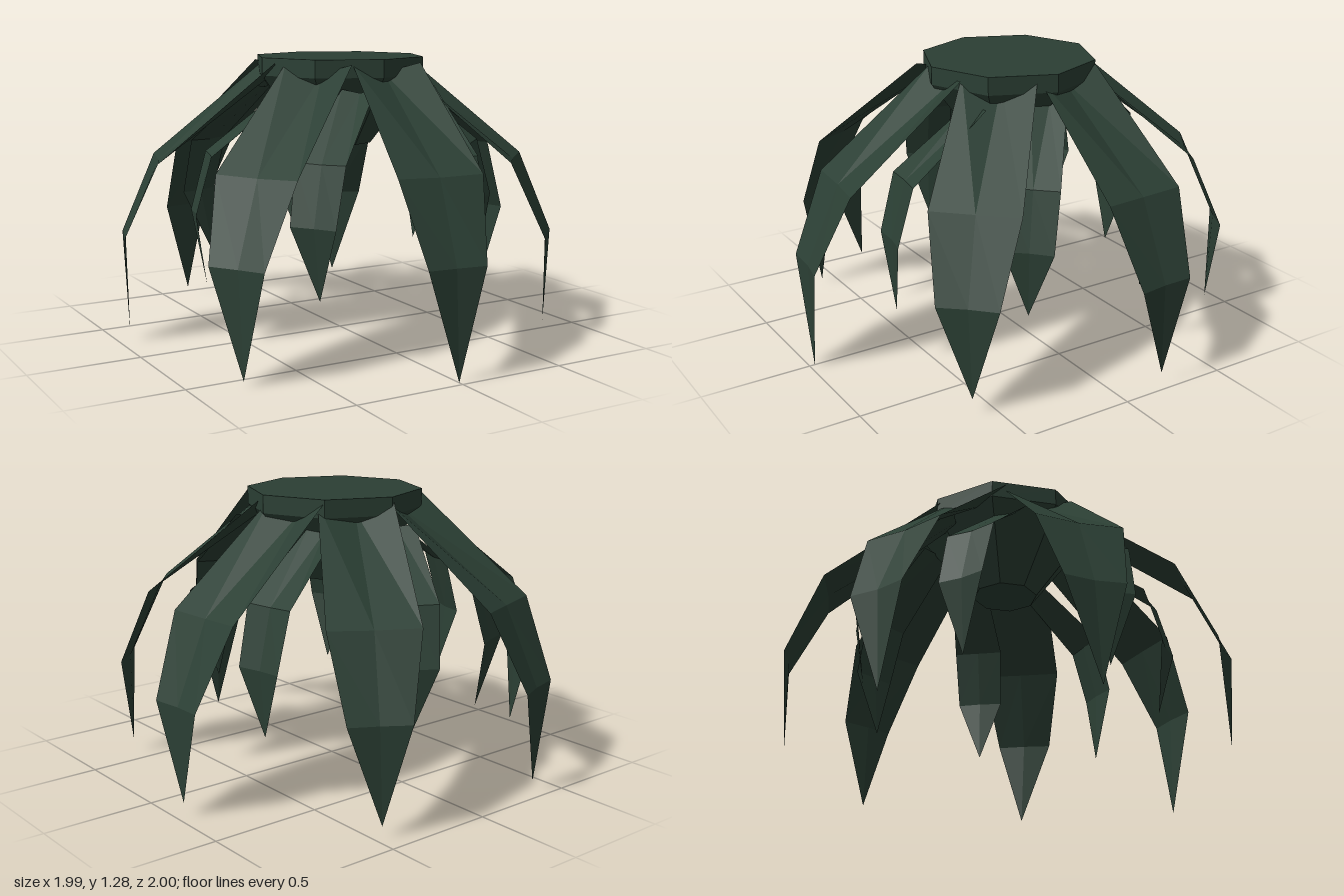
import * as THREE from 'three';

const material = new THREE.MeshStandardMaterial({ color: 0x2b3f34, flatShading: true, side: THREE.DoubleSide });

// Leaf blade: a thin folded sheet of three-point rows running from the hub, over the bend, to a pointed tip.
// Each section: distance back from the bend, height, half width, fold depth, slope of the normal.
function leafGeometry(bend, heading, tip, sections) {
  const d = new THREE.Vector3(heading[0], 0, heading[1]).normalize();
  const s = new THREE.Vector3(d.z, 0, -d.x);
  const up = new THREE.Vector3(0, 1, 0);
  const pos = [], index = [];

  for (const { back, y, w, fold, n } of sections) {
    const centre = new THREE.Vector3(bend[0], y, bend[1]).addScaledVector(d, -back);
    const normal = d.clone().multiplyScalar(Math.cos(n)).addScaledVector(up, Math.sin(n));
    for (const side of [-1, 0, 1]) {
      const p = centre.clone().addScaledVector(s, side * w);
      if (side === 0) p.addScaledVector(normal, -fold);
      pos.push(p.x, p.y, p.z);
    }
  }
  pos.push(...tip);

  const last = sections.length - 1, tipIndex = sections.length * 3;
  for (let k = 0; k < 2; k++) {
    for (let r = 0; r < last; r++) {
      const a = r * 3 + k;
      index.push(a, a + 3, a + 4, a, a + 4, a + 1);
    }
    index.push(last * 3 + k, tipIndex, last * 3 + k + 1);
  }
  const geo = new THREE.BufferGeometry();
  geo.setAttribute('position', new THREE.Float32BufferAttribute(pos, 3));
  geo.setIndex(index);
  geo.computeVertexNormals();
  return geo;
}

const longSections = [
  { back: 0.675, y: 1.26, w: 0.165, fold: 0.055, n: 0.9 },
  { back: 0.155, y: 0.83, w: 0.195, fold: 0.012, n: 0.5 },
  { back: 0, y: 0.48, w: 0.133, fold: 0.012, n: 0.2 },
];
const shortSections = [
  { back: 0.42, y: 1.15, w: 0.08, fold: 0.02, n: 0.8 },
  { back: 0.07, y: 0.87, w: 0.118, fold: 0.01, n: 0.45 },
  { back: 0, y: 0.61, w: 0.108, fold: 0.01, n: 0.15 },
];

// Bend position (x, z), heading (x, z), tip (x, y, z)
const longLeaves = [
  [[0.985, -0.2], [1, -0.077], [0.965, 0.06, -0.21]],
  [[0.735, 0.62], [0.19, 0.18], [0.735, 0.07, 0.6]],
  [[-0.02, 0.985], [-0.03, 0.26], [0, 0, 0.975]],
  [[-0.8, 0.565], [-0.225, 0.14], [-0.78, 0.02, 0.58]],
  [[-0.955, -0.305], [-0.25, -0.085], [-0.945, 0.04, -0.275]],
  [[-0.375, -0.955], [-0.09, -0.25], [-0.385, 0.04, -0.93]],
  [[0.49, -0.907], [0.135, -0.22], [0.465, 0.05, -0.895]],
];
const shortLeaves = [
  [[0.675, -0.35], [1, -0.2], [0.635, 0.31, -0.34]],
  [[0.65, 0.27], [0.7, 0.7], [0.62, 0.31, 0.25]],
  [[0.2, 0.685], [-0.13, 0.99], [0.2, 0.27, 0.66]],
  [[-0.45, 0.56], [-0.1, 0.065], [-0.4, 0.29, 0.53]],
  [[-0.73, -0.02], [-0.11, -0.035], [-0.68, 0.29, 0]],
  [[-0.45, -0.605], [-0.05, -0.12], [-0.4, 0.29, -0.55]],
  [[0.165, -0.745], [0.06, -0.1], [0.145, 0.3, -0.7]],
];

export function createModel() {
  const group = new THREE.Group();
  const add = (name, geo) => {
    const mesh = new THREE.Mesh(geo, material);
    mesh.name = name;
    group.add(mesh);
    return mesh;
  };

  // Octagonal crown plate and the tapered core beneath it
  add('crownPlate', new THREE.CylinderGeometry(0.395, 0.395, 0.08, 8)).position.set(0.015, 1.24, -0.035);
  add('crownCore', new THREE.CylinderGeometry(0.395, 0.15, 0.32, 8)).position.set(0.015, 1.04, -0.035);

  // Outer long leaves and inner short leaves
  longLeaves.forEach((leaf, i) => add(`longLeaf${i + 1}`, leafGeometry(...leaf, longSections)));
  shortLeaves.forEach((leaf, i) => add(`shortLeaf${i + 1}`, leafGeometry(...leaf, shortSections)));
  return group;
}
